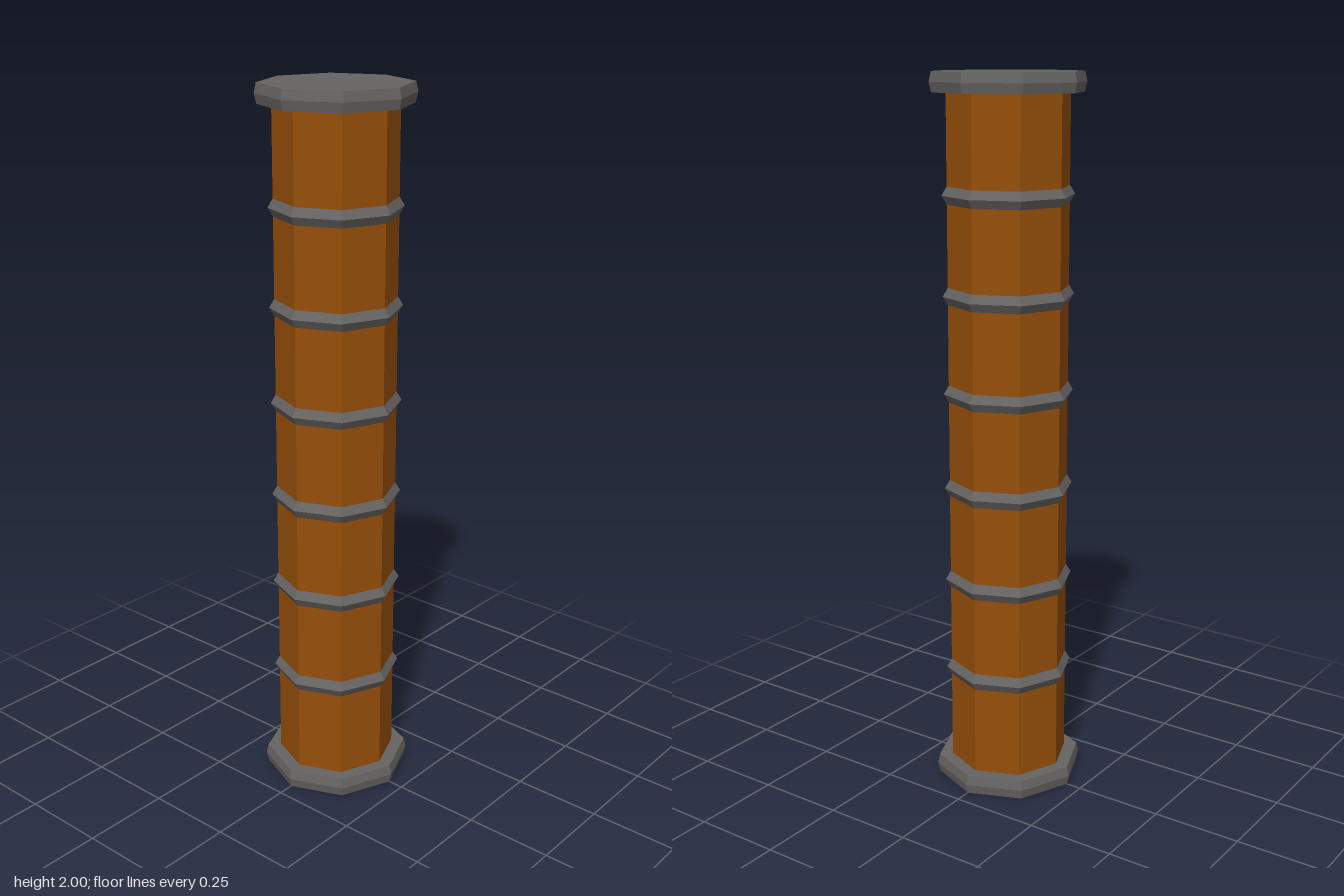
import * as THREE from 'three';

const SIDES = 8;

export function createModel() {
  const group = new THREE.Group();
  const wood = new THREE.MeshStandardMaterial({ name: 'brown wood', color: 0x964f0a, flatShading: true });
  const metal = new THREE.MeshStandardMaterial({ name: 'grey metal', color: 0x666462, flatShading: true });

  // Revolve a [radius, height] profile (bottom to top) into an eight-sided part
  function addPart(name, profile, material, y) {
    const points = profile.map(([r, h]) => new THREE.Vector2(r, h));
    const mesh = new THREE.Mesh(new THREE.LatheGeometry(points, SIDES), material);
    mesh.name = name;
    mesh.position.y = y;
    group.add(mesh);
  }

  // Octagonal shaft, its ends hidden in the caps
  addPart('shaft', [[0.167, 0.03], [0.167, 1.97]], wood, 0);

  // Six ridged bands, evenly spaced
  for (let i = 0; i < 6; i++) {
    addPart(`band${i + 1}`, [[0.165, -0.027], [0.181, 0], [0.165, 0.027]], metal, 0.33 + i * 0.27);
  }

  // End caps, slightly widest at mid-height
  const cap = [[0, -0.027], [0.205, -0.027], [0.211, 0], [0.205, 0.027], [0, 0.027]];
  addPart('bottomCap', cap, metal, 0.027);
  addPart('topCap', cap, metal, 1.973);

  return group;
}
